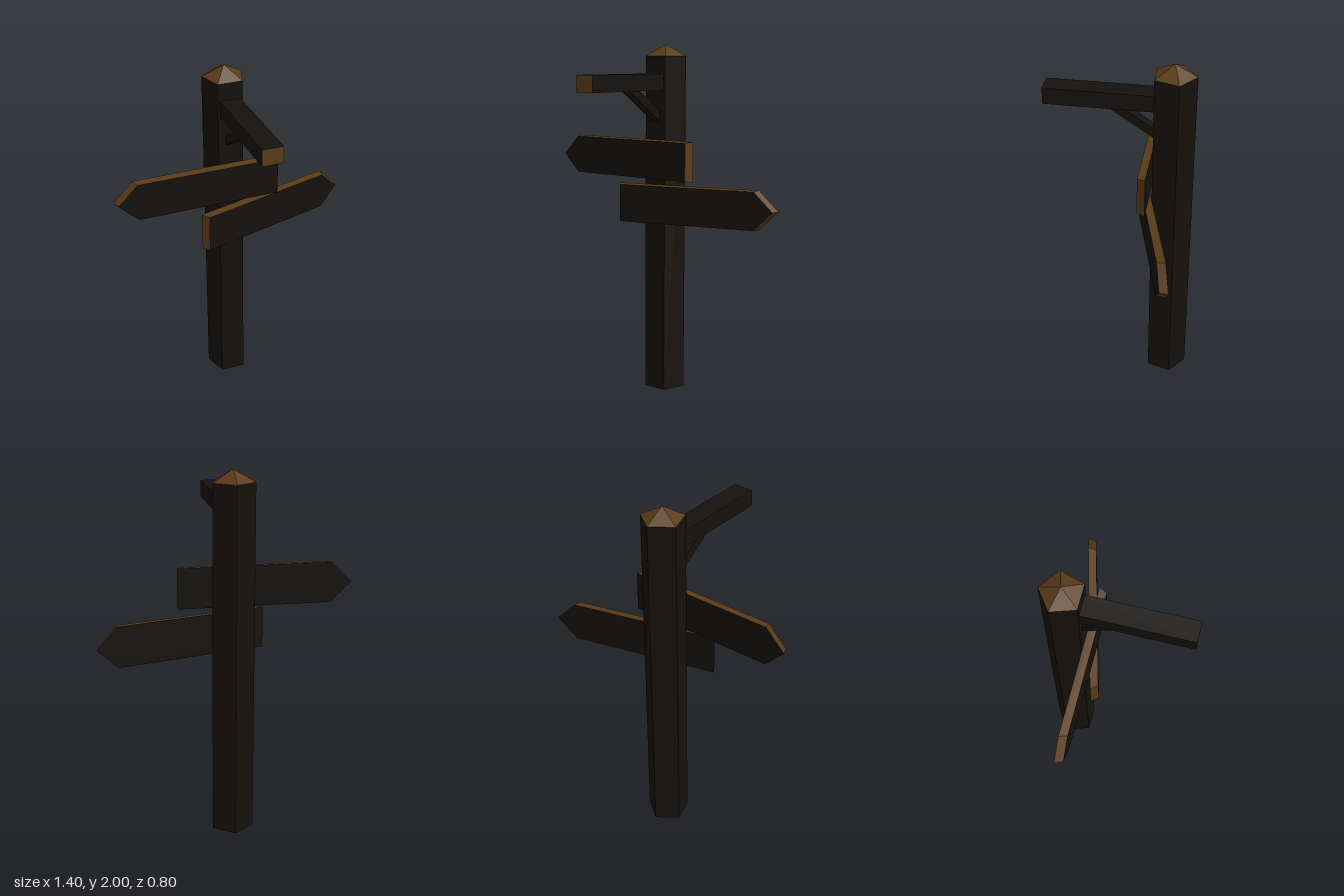
import * as THREE from 'three';

const dark = new THREE.MeshStandardMaterial({ color: 0x15110d, flatShading: true });
const brown = new THREE.MeshStandardMaterial({ color: 0x5a3b18, flatShading: true });

function addMesh(parent, name, geometry, material, x, y, z) {
  const mesh = new THREE.Mesh(geometry, material);
  mesh.name = name;
  mesh.position.set(x, y, z);
  parent.add(mesh);
  return mesh;
}

// Arrow board pointing to +x, its front face slightly smaller than its back
function boardGeometry() {
  const half = 0.478, h = 0.112, shoulder = 0.365;
  const shape = new THREE.Shape([
    [-half, -h], [shoulder, -h], [half, 0], [shoulder, h], [-half, h],
  ].map(([x, y]) => new THREE.Vector2(x, y)));
  const geometry = new THREE.ExtrudeGeometry(shape, { depth: 0.045, bevelEnabled: false });
  const p = geometry.attributes.position;
  for (let i = 0; i < p.count; i++) {
    if (p.getZ(i) > 0.02) p.setXY(i, p.getX(i) * 0.955, p.getY(i) * 0.955);
  }
  geometry.computeVertexNormals();
  return geometry;
}

export function createModel() {
  const model = new THREE.Group();
  model.name = 'signpost';
  const postX = -0.023, postZ = -0.281, radius = 0.119, postTop = 1.935;

  // Five-sided post with a corner towards the back, and its pointed cap
  const post = new THREE.CylinderGeometry(radius, radius, postTop, 5).rotateY(Math.PI);
  addMesh(model, 'post', post, dark, postX, postTop / 2, postZ);
  const capHeight = 2 - postTop;
  const cap = new THREE.ConeGeometry(radius, capHeight, 5, 1, true).rotateY(Math.PI);
  addMesh(model, 'postCap', cap, brown, postX, postTop + capHeight / 2, postZ);

  // Arm reaching forward, with a brown cut end (+z face)
  const arm = new THREE.BoxGeometry(0.115, 0.092, 0.65);
  addMesh(model, 'arm', arm, [dark, dark, dark, dark, brown, dark], postX, 1.791, 0.075);

  // Slanted brace under the arm, drawn in (z, y) and extruded across x
  const brace = new THREE.ExtrudeGeometry(new THREE.Shape([
    [0.08, 1.75], [-0.005, 1.75], [-0.21, 1.612], [-0.21, 1.558],
  ].map(([z, y]) => new THREE.Vector2(-z, y))), { depth: 0.058, bevelEnabled: false });
  brace.rotateY(Math.PI / 2);
  addMesh(model, 'brace', brace, dark, postX - 0.029, 0, 0);

  // Two arrow boards with dark faces and brown edges
  const board = boardGeometry();
  const upper = addMesh(model, 'upperBoard', board, [dark, brown], -0.224, 1.355, -0.174);
  upper.rotation.z = Math.PI;
  const lower = addMesh(model, 'lowerBoard', board, [dark, brown], 0.237, 1.1, -0.235);
  lower.rotation.y = THREE.MathUtils.degToRad(15);

  return model;
}
